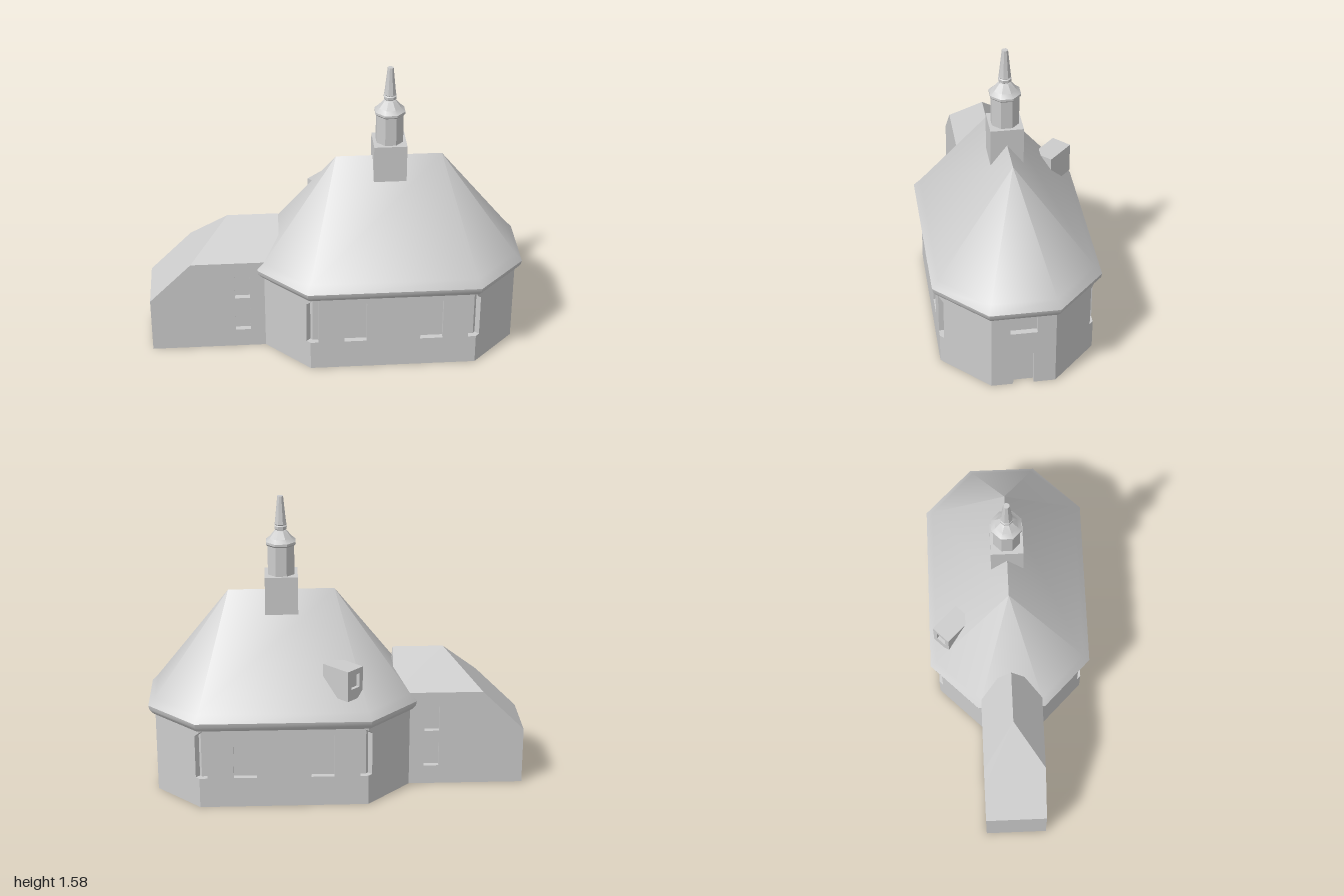
import * as THREE from 'three';
import { toCreasedNormals } from 'three/addons/utils/BufferGeometryUtils.js';
import { ConvexGeometry } from 'three/addons/geometries/ConvexGeometry.js';

const CX = 0.29; // centre of the nave and steeple
const T = 0.03; // depth of the window recesses
const WALL_TOP = 0.46;

// corners [x, z] of the eight-sided plan, grown outward by d
function plan(d) {
  const a = 0.4425 + 0.414 * d, b = 0.675 + d, c = 0.4 + d, e = 0.165 + 0.414 * d;
  return [[-a, c], [a, c], [b, e], [b, -e], [a, -c], [-a, -c], [-b, -e], [-b, e]]
    .map(([x, z]) => [CX + x, z]);
}
const shapeOf = (pts) => new THREE.Shape(pts.map(([x, y]) => new THREE.Vector2(x, y)));
const rectPts = (x0, x1, y0, y1) => [[x0, y0], [x1, y0], [x1, y1], [x0, y1]];
const pointedPts = (x, h) => [[x - h, 0.165], [x + h, 0.165], [x + h, 0.4], [x, 0.452], [x - h, 0.4]];

function extrude(pts, holes, depth) {
  const shape = shapeOf(pts);
  holes.forEach((h) => shape.holes.push(shapeOf(h)));
  return new THREE.ExtrudeGeometry(shape, { depth, bevelEnabled: false });
}

export function createModel() {
  const model = new THREE.Group();
  const stone = new THREE.MeshStandardMaterial({ color: 0xcccccc });
  stone.name = 'paleGrey';
  const add = (name, geo, parent = model) => {
    const mesh = new THREE.Mesh(geo, stone);
    mesh.name = name;
    parent.add(mesh);
    return mesh;
  };

  // nave: inner core, then outer wall panels carrying the openings
  const core = extrude(plan(-T).map(([x, z]) => [x, -z]), [], WALL_TOP);
  core.rotateX(-Math.PI / 2);
  add('naveCore', core);

  // upright panel outline with corner window notches [width, inner top] at either end
  const cornerTop = 0.423;
  function outline(len, n0, n1, door) {
    const pts = [[0, 0]];
    if (door) {
      const m = len / 2;
      pts.push([m - 0.053, 0], [m - 0.053, 0.19], [m, 0.25], [m + 0.053, 0.19], [m + 0.053, 0]);
    }
    pts.push([len, 0]);
    if (n1) pts.push([len, 0.165], [len - n1[0], 0.165], [len - n1[0], n1[1]], [len, cornerTop]);
    pts.push([len, WALL_TOP], [0, WALL_TOP]);
    if (n0) pts.push([0, cornerTop], [n0[0], n0[1]], [n0[0], 0.165], [0, 0.165]);
    return pts;
  }
  const onLong = [0.042, 0.45], onDiagonal = [0.028, 0.4];
  const corners = plan(0);
  corners.forEach(([ax, az], i) => {
    const [bx, bz] = corners[(i + 1) % 8];
    const len = Math.hypot(bx - ax, bz - az);
    const kind = i % 4;
    let pts, holes = [];
    if (kind === 0) {
      pts = outline(len, onLong, onLong);
      holes = [pointedPts(len / 2 - 0.203, 0.06), pointedPts(len / 2 + 0.203, 0.06)];
    } else if (kind === 2) {
      pts = outline(len, null, null, i === 2);
      if (i === 2) holes = [rectPts(len / 2 - 0.07, len / 2 + 0.07, 0.33, 0.425)];
    } else {
      pts = outline(len, kind === 1 ? onDiagonal : null, kind === 3 ? onDiagonal : null);
    }
    const geo = extrude(pts, holes, T);
    geo.translate(0, 0, -T);
    const wall = add('naveWall', geo);
    wall.position.set(ax, 0, az);
    wall.rotation.y = Math.atan2(az - bz, bx - ax);
  });

  // main roof: eave rings [outward offset, y] closed by a ridge
  const rings = [[-0.04, 0.44], [0.01, 0.44], [0.03, 0.465], [0.035, 0.49], [0, 0.53]];
  const pos = [], idx = [];
  rings.forEach(([d, y], r) => {
    plan(d).forEach(([x, z], i) => {
      pos.push(x, y, z);
      if (r === 0) return;
      const j = (i + 1) % 8, lo = (r - 1) * 8, hi = r * 8;
      idx.push(lo + i, lo + j, hi + j, lo + i, hi + j, hi + i);
    });
  });
  const A = rings.length * 8, B = A + 1, top = A - 8;
  pos.push(0.01, 1.07, 0, 0.57, 1.07, 0);
  for (let i = 0; i < 8; i++) {
    const near = i < 4 ? B : A, far = i < 4 ? A : B;
    idx.push(top + i, top + (i + 1) % 8, near);
    if (i % 4 === 0) idx.push(top + i, near, far);
  }
  const roof = new THREE.BufferGeometry();
  roof.setAttribute('position', new THREE.Float32BufferAttribute(pos, 3));
  roof.setIndex(idx);
  add('mainRoof', toCreasedNormals(roof, 0.7));

  // annex: core, two side walls with windows, and a gabled roof with a sloping end
  const W = 0.165;
  const side = [[-1, 0], [-0.3, 0], [-0.3, 0.458], [-0.85, 0.458], [-1, 0.31]];
  const windows = [rectPts(-0.545, -0.465, 0.105, 0.24), rectPts(-0.545, -0.465, 0.31, 0.45)];
  const annexCore = extrude(side, [], 2 * (W - T));
  annexCore.translate(0, 0, T - W);
  add('annexCore', annexCore);
  for (const z of [W - T, -W]) {
    const geo = extrude(side, windows, T);
    geo.translate(0, 0, z);
    add('annexWall', geo);
  }
  const roofPts = [new THREE.Vector3(-0.57, 0.735, 0), new THREE.Vector3(-0.3, 0.735, 0)];
  for (const s of [-W, W]) {
    for (const [x, y] of [[-0.85, 0.458], [-0.775, 0.532], [-0.3, 0.532], [-0.3, 0.458]]) {
      roofPts.push(new THREE.Vector3(x, y, s));
    }
  }
  add('annexRoof', new ConvexGeometry(roofPts));

  // dormer on the back of the roof, turned to the corner
  const dormer = new THREE.Group();
  dormer.name = 'dormer';
  dormer.position.set(-0.02, 0.59, -0.305);
  dormer.rotation.y = -0.75 * Math.PI;
  model.add(dormer);
  const block = new THREE.BoxGeometry(0.113, 0.165, 0.157);
  block.translate(0, 0.0825, -0.01);
  add('dormerBlock', block, dormer);
  const face = extrude(rectPts(-0.0565, 0.0565, 0, 0.165), [rectPts(-0.03, 0.03, 0.06, 0.135)], 0.02);
  face.translate(0, 0, 0.0685);
  add('dormerFace', face, dormer);

  // steeple: square base, eight-sided drum, cap and spire
  const base = add('steepleBase', new THREE.BoxGeometry(0.173, 0.26, 0.17));
  base.position.set(CX, 1.03, 0);
  const lathe = (name, pts, crease) => {
    const geo = new THREE.LatheGeometry(pts.map(([r, y]) => new THREE.Vector2(r, y)), 8);
    geo.rotateY(Math.PI / 8);
    const mesh = add(name, toCreasedNormals(geo, crease));
    mesh.position.x = CX;
  };
  lathe('steepleDrum', [[0.075, 1.15], [0.075, 1.32]], 0.1);
  lathe('steepleCap', [[0.05, 1.31], [0.074, 1.315], [0.084, 1.325], [0.084, 1.337], [0.062, 1.355],
    [0.032, 1.392], [0.025, 1.396], [0.034, 1.403], [0.035, 1.418], [0.028, 1.424]], 0.6);
  lathe('spire', [[0.026, 1.42], [0.033, 1.428], [0.031, 1.438], [0.016, 1.577], [0, 1.577]], 0.6);

  return model;
}
